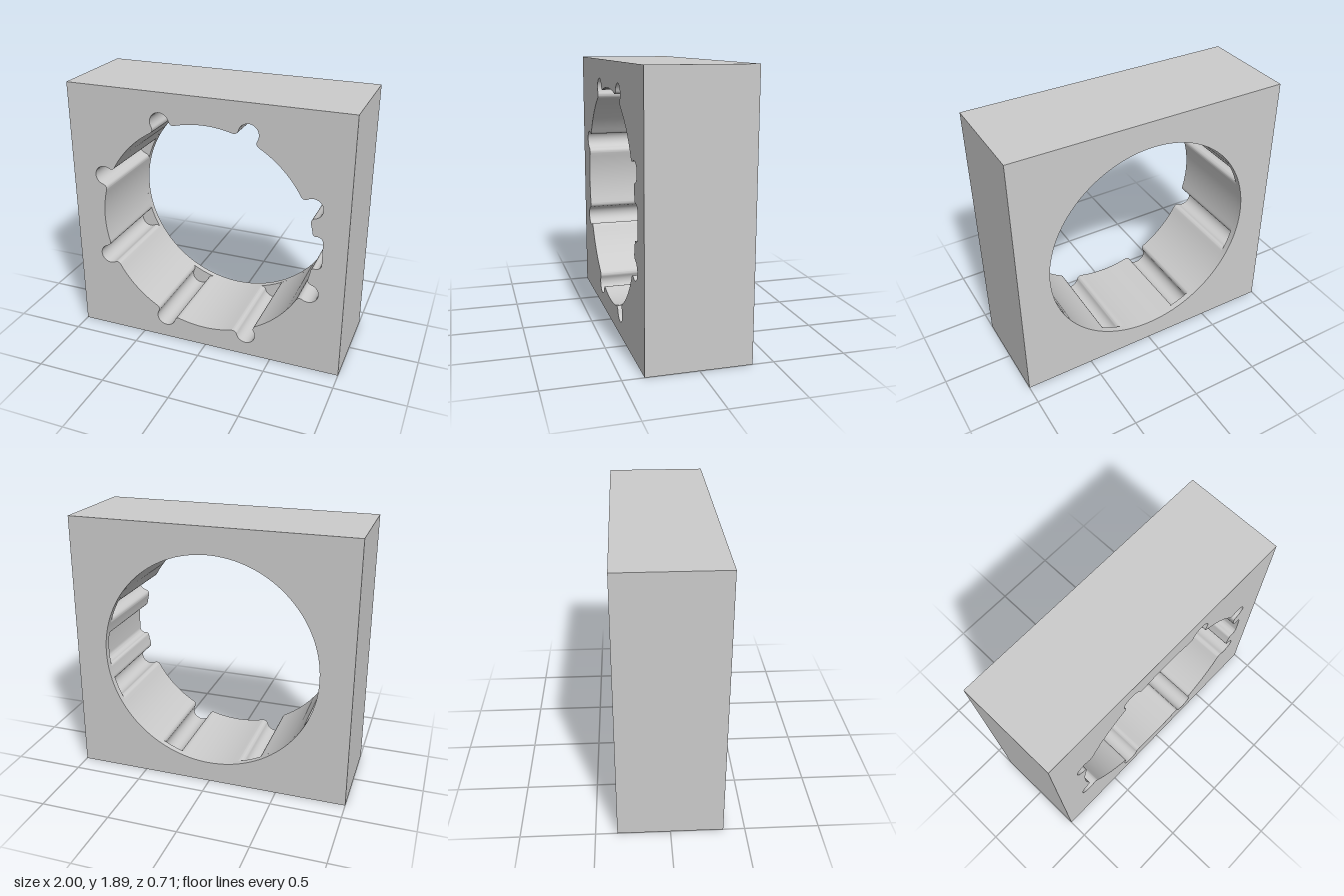
import * as THREE from 'three';
import { toCreasedNormals } from 'three/addons/utils/BufferGeometryUtils.js';

const W = 2, H = 1.89, D = 0.71, LIP = 0.045;
const CY = 0.926, R = 0.775;

const polar = (a, r) => new THREE.Vector2(r * Math.cos(a), r * Math.sin(a));
const dirTo = (p, q) => Math.atan2(q.y - p.y, q.x - p.x);

// Appends an arc, turning counter-clockwise (sign 1) or clockwise (sign -1)
function arc(pts, c, r, from, to, sign, n) {
  const turn = 2 * Math.PI;
  const sweep = ((((to - from) * sign) % turn) + turn) % turn * sign;
  for (let i = 0; i <= n; i++) {
    const p = polar(from + sweep * i / n, r).add(c);
    if (!pts.length || pts[pts.length - 1].distanceTo(p) > 1e-4) pts.push(p);
  }
}

// Round bore with filleted grooves. Each groove has two lobes, at angle -/+ spread.
function groovedBore(grooves) {
  const pts = [], centre = new THREE.Vector2();
  const ends = grooves.map(({ a, spread, rho, c, f }) => {
    const q = R + f;
    return spread + Math.acos((q * q + rho * rho - (f + c) ** 2) / (2 * q * rho));
  });
  grooves.forEach(({ a, spread, rho, c, f }, i) => {
    const d = ends[i];
    const f1 = polar(a - d, R + f), f2 = polar(a + d, R + f);
    const l1 = polar(a - spread, rho), l2 = polar(a + spread, rho);
    arc(pts, f1, f, a - d + Math.PI, dirTo(f1, l1), -1, 8);
    arc(pts, l1, c, dirTo(l1, f1), a, 1, 10);
    arc(pts, l2, c, a, dirTo(l2, f2), 1, 10);
    arc(pts, f2, f, dirTo(f2, l2), a + d + Math.PI, -1, 8);
    const j = (i + 1) % grooves.length;
    arc(pts, centre, R, a + d, grooves[j].a - ends[j], 1, 14);
  });
  if (pts[0].distanceTo(pts[pts.length - 1]) < 1e-4) pts.pop();
  return pts;
}

// Rectangular slab pierced by the given outline
function slab(name, outline, depth, z) {
  const shape = new THREE.Shape([
    new THREE.Vector2(-W / 2, -CY), new THREE.Vector2(W / 2, -CY),
    new THREE.Vector2(W / 2, H - CY), new THREE.Vector2(-W / 2, H - CY),
  ]);
  shape.holes.push(new THREE.Path(outline));
  const geo = new THREE.ExtrudeGeometry(shape, { depth, bevelEnabled: false });
  const mesh = new THREE.Mesh(toCreasedNormals(geo, 0.6),
    new THREE.MeshStandardMaterial({ color: 0xcccccc }));
  mesh.name = name;
  mesh.position.set(0, CY, z);
  return mesh;
}

export function createModel() {
  const group = new THREE.Group();
  group.name = 'groovedHousing';

  // One wide keyway on the left side, eight round grooves around the bore
  const grooves = [{ a: 0, spread: Math.atan2(0.08, 0.795), rho: 0.799, c: 0.04, f: 0.02 }];
  for (let i = 0; i < 8; i++) {
    grooves.push({ a: (i + 0.5) * Math.PI / 4, spread: 0, rho: 0.817, c: 0.07, f: 0.032 });
  }
  group.add(slab('groovedBlock', groovedBore(grooves), D - LIP, -D / 2 + LIP));

  // Thin plain ring wall that closes the grooves at the back
  const circle = [];
  for (let i = 0; i < 128; i++) circle.push(polar(i * Math.PI / 64, R));
  group.add(slab('backLip', circle, LIP, -D / 2));

  return group;
}
